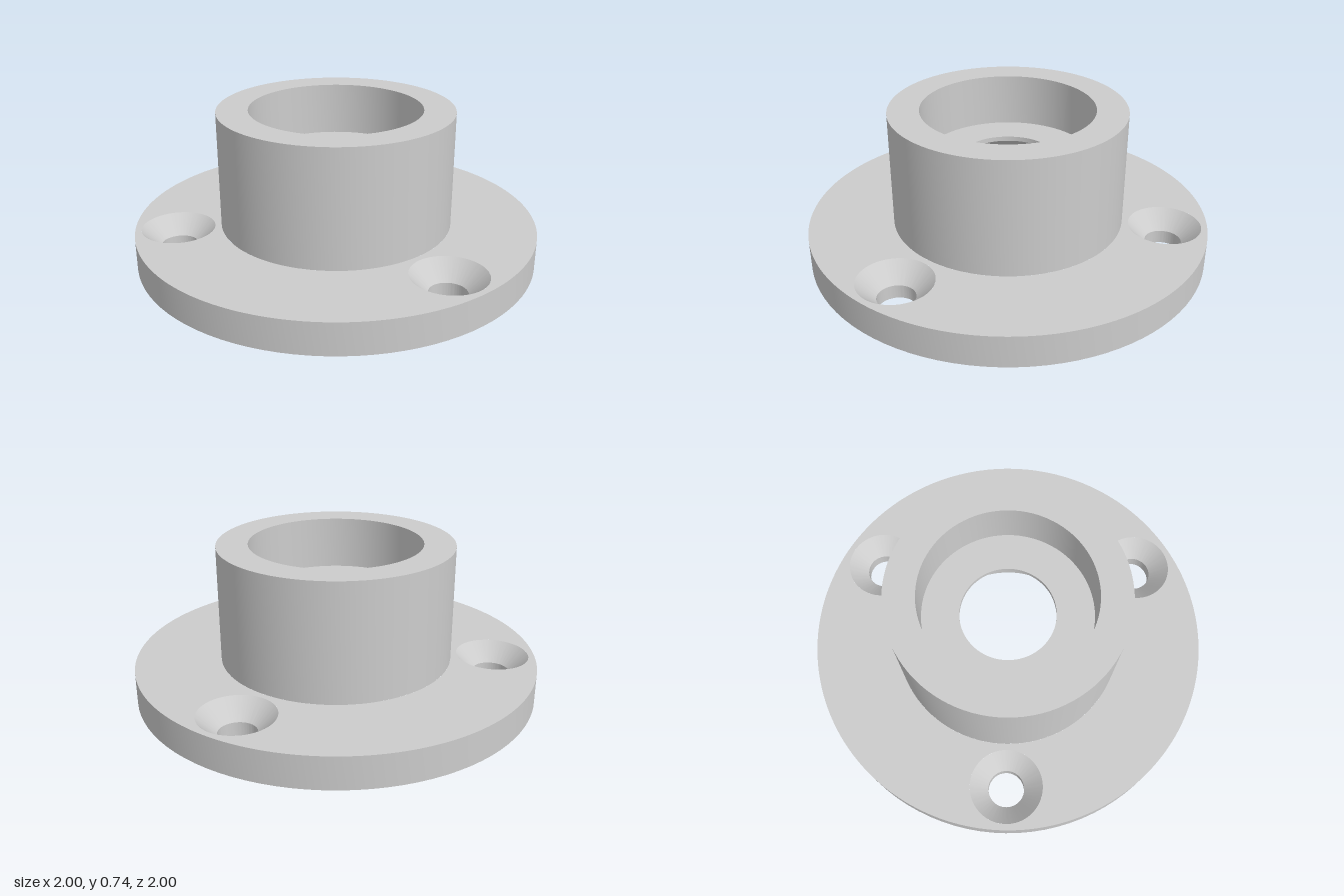
import * as THREE from 'three';
import { toCreasedNormals } from 'three/addons/utils/BufferGeometryUtils.js';

const SEG = 96;
const FLANGE_R = 1, FLANGE_H = 0.158;
const HUB_R = 0.579, HUB_TOP = 0.738, BORE_R = 0.425, SHAFT_R = 0.238;
const SCREW_R = 0.09, SINK_R = 0.18, SINK_Y = 0.068, SCREW_CIRCLE = 0.79;

// Three screw positions, one at the back
const screws = [0, 1, 2].map((i) => {
  const a = (i * Math.PI * 2) / 3;
  return { x: SCREW_CIRCLE * Math.sin(a), z: -SCREW_CIRCLE * Math.cos(a) };
});

// Surface of revolution with sharp profile corners
function revolve(profile) {
  const points = profile.map(([r, y]) => new THREE.Vector2(r, y));
  return toCreasedNormals(new THREE.LatheGeometry(points, SEG), 0.5);
}

// Flat flange face with a central opening and screw holes; side is 1 (up) or -1 (down)
function flangeFace(innerR, holeR, side) {
  const shape = new THREE.Shape().absarc(0, 0, FLANGE_R, 0, Math.PI * 2);
  const cut = (x, y, r) => shape.holes.push(new THREE.Path().absarc(x, y, r, 0, Math.PI * 2, true));
  cut(0, 0, innerR);
  screws.forEach(({ x, z }) => cut(x, -side * z, holeR));
  return new THREE.ShapeGeometry(shape, SEG).rotateX((-side * Math.PI) / 2);
}

export function createModel() {
  const group = new THREE.Group();
  group.name = 'flangedHub';
  const grey = new THREE.MeshStandardMaterial({ color: 0xcccccc });
  grey.name = 'light grey';

  function add(name, geometry, x = 0, y = 0, z = 0) {
    const mesh = new THREE.Mesh(geometry, grey);
    mesh.name = name;
    mesh.position.set(x, y, z);
    group.add(mesh);
  }

  // Flange disc
  add('flangeRim', revolve([[FLANGE_R, 0], [FLANGE_R, FLANGE_H]]));
  add('flangeTop', flangeFace(HUB_R, SINK_R, 1), 0, FLANGE_H, 0);
  add('flangeBottom', flangeFace(BORE_R, SCREW_R, -1));

  // Hub wall, upper seat, shaft hole, conical ceiling and lower bore
  add('hub', revolve([
    [HUB_R, FLANGE_H], [HUB_R, HUB_TOP], [BORE_R, HUB_TOP], [BORE_R, 0.474],
    [SHAFT_R, 0.474], [SHAFT_R, 0.45], [BORE_R, 0.264], [BORE_R, 0],
  ]));

  // Countersunk screw holes
  const sink = revolve([[SINK_R, FLANGE_H], [SCREW_R, SINK_Y], [SCREW_R, 0]]);
  screws.forEach(({ x, z }, i) => add(`screwHole${i + 1}`, sink, x, 0, z));

  return group;
}
